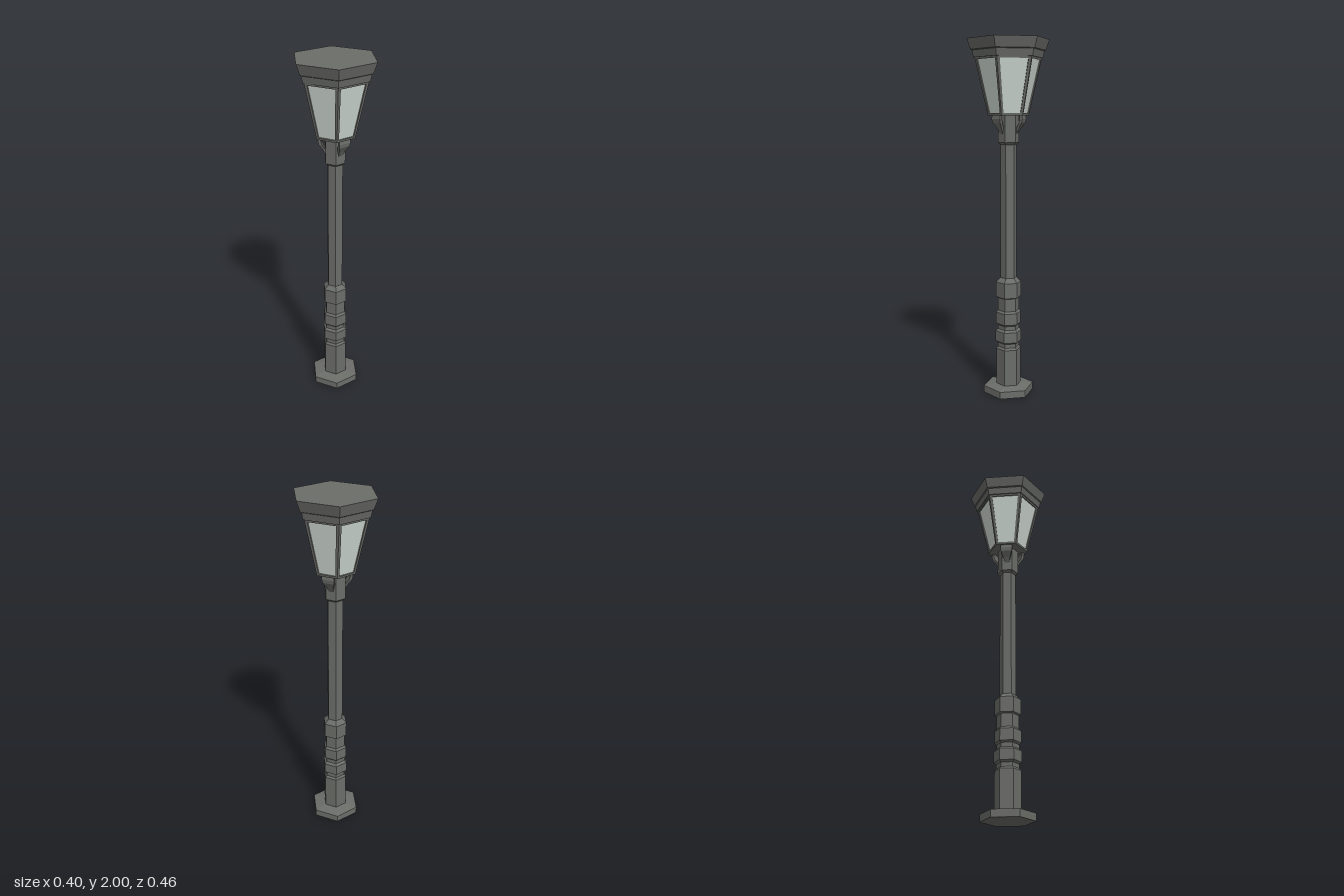
import * as THREE from 'three';

const metal = new THREE.MeshStandardMaterial({ color: 0x6b6d69 });
metal.name = 'weathered metal';
const glass = new THREE.MeshStandardMaterial({ color: 0xd2dcd6 });
glass.name = 'frosted glass';

function add(parent, name, geometry, material) {
  const mesh = new THREE.Mesh(geometry, material);
  mesh.name = name;
  parent.add(mesh);
  return mesh;
}

// Faceted copy of a geometry
function faceted(geometry) {
  const flat = geometry.index ? geometry.toNonIndexed() : geometry;
  flat.computeVertexNormals();
  return flat;
}

// Six-sided turned part, corners on +z and -z; profile is [corner radius, y] upwards
function hexTurned(profile) {
  return faceted(new THREE.LatheGeometry(profile.map(([r, y]) => new THREE.Vector2(r, y)), 6));
}

// Four-sided strap through rows of [outer distance, inner distance, y, half width]
function strap(rows) {
  const positions = [];
  const index = [];
  rows.forEach(([outer, inner, y, w]) => {
    positions.push(-w, y, outer, w, y, outer, w, y, inner, -w, y, inner);
  });
  for (let i = 0; i < rows.length - 1; i++) {
    for (let j = 0; j < 4; j++) {
      const a = i * 4 + j, b = i * 4 + (j + 1) % 4;
      index.push(a, b, a + 4, b, b + 4, a + 4);
    }
  }
  const geometry = new THREE.BufferGeometry();
  geometry.setAttribute('position', new THREE.Float32BufferAttribute(positions, 3));
  geometry.setIndex(index);
  return faceted(geometry);
}

function trapezoid(Type, bottomHalf, topHalf, y0, y1) {
  return new Type([
    new THREE.Vector2(-bottomHalf, y0), new THREE.Vector2(bottomHalf, y0),
    new THREE.Vector2(topHalf, y1), new THREE.Vector2(-topHalf, y1),
  ]);
}

export function createModel() {
  const model = new THREE.Group();
  model.name = 'streetLamp';

  // Foot plate
  add(model, 'footPlate', hexTurned([
    [0, 0], [0.145, 0], [0.145, 0.04], [0.075, 0.05], [0, 0.05],
  ]), metal);

  // Pedestal with three rings, slim pole and the cup under the lantern
  add(model, 'post', hexTurned([
    [0.071, 0.04], [0.071, 0.26], [0.061, 0.272], [0.061, 0.295],
    [0.075, 0.305], [0.075, 0.365], [0.061, 0.377], [0.061, 0.4],
    [0.072, 0.41], [0.072, 0.475], [0.061, 0.487], [0.061, 0.56],
    [0.072, 0.566], [0.072, 0.652], [0.046, 0.677], [0.046, 1.43],
    [0.06, 1.442], [0.06, 1.6],
  ]), metal);

  // Three curved brackets
  const bracket = strap([
    [0.052, 0.04, 1.49, 0.012], [0.068, 0.052, 1.52, 0.02],
    [0.088, 0.07, 1.55, 0.032], [0.092, 0.077, 1.57, 0.035],
    [0.088, 0.075, 1.6, 0.035],
  ]);
  for (let i = 0; i < 3; i++) {
    add(model, 'bracket', bracket, metal).rotation.y = Math.PI / 6 + i * Math.PI * 2 / 3;
  }

  // Lantern: six sloping frames with glass set back in each
  const lantern = new THREE.Group();
  lantern.name = 'lantern';
  model.add(lantern);
  const y0 = 1.59, y1 = 1.905, reach0 = 0.1, reach1 = 0.163;
  const slope = Math.hypot(y1 - y0, reach1 - reach0);
  const half0 = reach0 / Math.sqrt(3), half1 = reach1 / Math.sqrt(3);
  const frameShape = trapezoid(THREE.Shape, half0, half1, 0, slope);
  frameShape.holes.push(trapezoid(THREE.Path, half0 - 0.011, half1 - 0.017, 0.012, slope - 0.016));
  const frame = new THREE.ExtrudeGeometry(frameShape, { depth: 0.012, bevelEnabled: false });
  frame.translate(0, 0, -0.012);
  const pane = new THREE.ShapeGeometry(
    trapezoid(THREE.Shape, half0 - 0.008, half1 - 0.014, 0.008, slope - 0.01));
  pane.translate(0, 0, -0.007);

  for (let i = 0; i < 6; i++) {
    const side = new THREE.Group();
    side.name = 'lanternSide';
    side.rotation.y = Math.PI / 6 + i * Math.PI / 3;
    const panel = new THREE.Group();
    panel.name = 'slopingPanel';
    panel.position.set(0, y0, reach0);
    panel.rotation.x = Math.atan2(reach1 - reach0, y1 - y0);
    add(panel, 'windowFrame', frame, metal);
    add(panel, 'windowPane', pane, glass);
    side.add(panel);
    lantern.add(side);
  }

  // Lantern floor and stepped roof
  add(lantern, 'lanternFloor', hexTurned([
    [0, 1.591], [0.113, 1.591], [0.113, 1.6], [0, 1.6],
  ]), metal);
  add(lantern, 'roof', hexTurned([
    [0, 1.9], [0.193, 1.9], [0.202, 1.938], [0.209, 1.942], [0.23, 2], [0, 2],
  ]), metal);

  return model;
}
